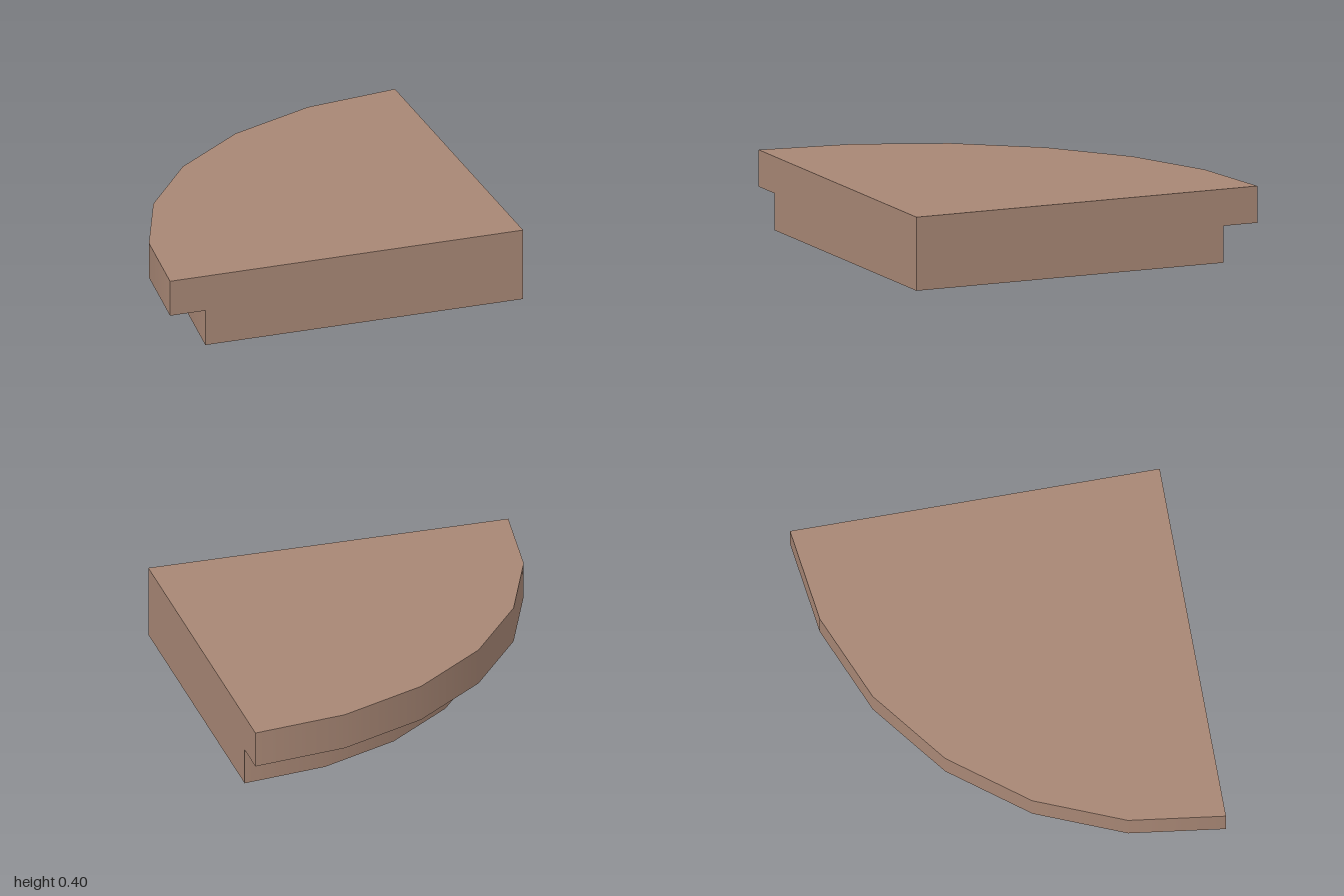
import * as THREE from 'three';

const R_TOP = 2, R_BASE = 1.8, STEP = 0.2, HEIGHT = 0.4, SEGMENTS = 6;
const QUARTER = Math.PI / 2;

export function createModel() {
  const clay = new THREE.MeshStandardMaterial({ color: 0xa88775 });
  clay.name = 'clay brown';
  const model = new THREE.Group();
  model.name = 'quarterRoundSlab';

  // Every part is built around the square corner, which sits at (1, 0, 1)
  const add = (name, geometry, y = 0) => {
    const mesh = new THREE.Mesh(geometry, clay);
    mesh.name = name;
    mesh.position.set(1, y, 1);
    model.add(mesh);
  };

  // Smooth curved rims of the slab and its recessed base
  const rim = (radius) =>
    new THREE.CylinderGeometry(radius, radius, STEP, SEGMENTS, 1, true, Math.PI, QUARTER);
  add('slabRim', rim(R_TOP), HEIGHT - STEP / 2);
  add('baseRim', rim(R_BASE), STEP / 2);

  // Horizontal faces: top, ledge under the overhang, underside
  add('slabTop', new THREE.CircleGeometry(R_TOP, SEGMENTS, QUARTER, QUARTER).rotateX(-QUARTER), HEIGHT);
  add('overhangLedge', new THREE.RingGeometry(R_BASE, R_TOP, SEGMENTS, 1, Math.PI, QUARTER).rotateX(QUARTER), STEP);
  add('baseUnderside', new THREE.CircleGeometry(R_BASE, SEGMENTS, Math.PI, QUARTER).rotateX(QUARTER));

  // Stepped straight walls, mirrored across the corner
  const wall = (side) => new THREE.ShapeGeometry(new THREE.Shape([
    [0, 0], [R_BASE, 0], [R_BASE, STEP], [R_TOP, STEP], [R_TOP, HEIGHT], [0, HEIGHT],
  ].map(([x, y]) => new THREE.Vector2(side * x, y))));
  add('frontWall', wall(-1));
  add('leftWall', wall(1).rotateY(QUARTER));

  return model;
}
